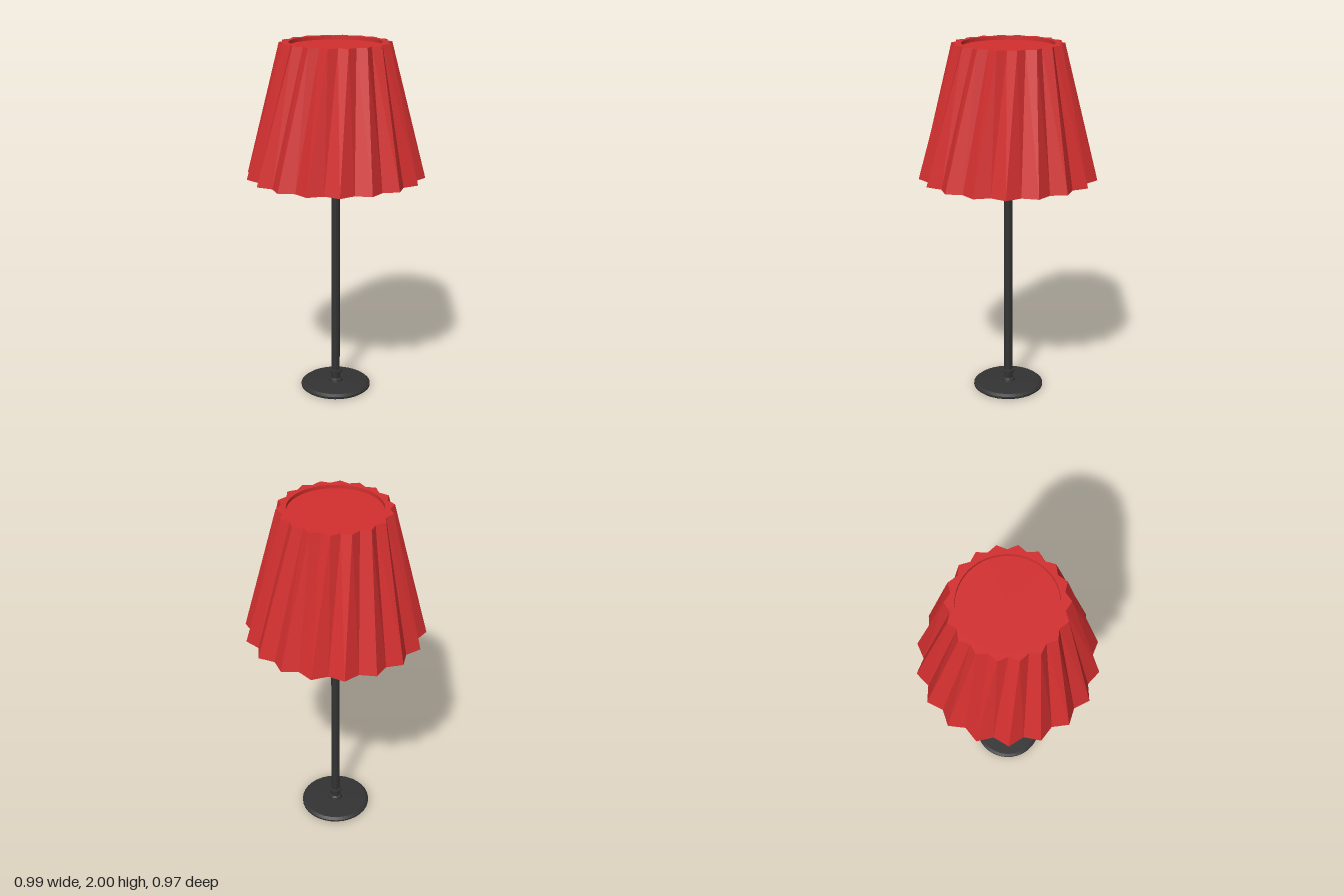
import * as THREE from 'three';
import { toCreasedNormals } from 'three/addons/utils/BufferGeometryUtils.js';

const PLEATS = 18, BOTTOM = 1.27, TOP = 2, HOLE = 0.25, RECESS = 0.02;

// Zigzag loop of points; even points and odd points have their own radius
function pleatLoop(evenRadius, oddRadius) {
  const points = [];
  for (let i = 0; i < PLEATS * 2; i++) {
    const a = (i * Math.PI) / PLEATS, r = i % 2 ? oddRadius : evenRadius;
    points.push(new THREE.Vector2(Math.cos(a) * r, Math.sin(a) * r));
  }
  return points;
}

// Pleated wall joining the bottom loop to the top loop
function pleatedWall(low, high) {
  const pos = [], n = low.length;
  const put = (p, y) => pos.push(p.x, y, -p.y);
  for (let i = 0; i < n; i++) {
    const j = (i + 1) % n;
    put(low[i], BOTTOM); put(low[j], BOTTOM); put(high[j], TOP);
    put(low[i], BOTTOM); put(high[j], TOP); put(high[i], TOP);
  }
  const g = new THREE.BufferGeometry();
  g.setAttribute('position', new THREE.Float32BufferAttribute(pos, 3));
  g.computeVertexNormals();
  return g;
}

export function createModel() {
  const model = new THREE.Group();
  model.name = 'tableLamp';
  const red = new THREE.MeshStandardMaterial({ color: 0xd32f2f });
  red.name = 'redShade';
  const black = new THREE.MeshStandardMaterial({ color: 0x333333 });
  black.name = 'blackMetal';

  const add = (parent, name, geometry, material, y = 0) => {
    const mesh = new THREE.Mesh(geometry, material);
    mesh.name = name;
    mesh.position.y = y;
    parent.add(mesh);
  };

  // Shade: the folds swap in and out between bottom and top
  const shade = new THREE.Group();
  shade.name = 'shade';
  model.add(shade);
  const low = pleatLoop(0.493, 0.45), high = pleatLoop(0.275, 0.302);
  add(shade, 'pleats', pleatedWall(low, high), red);
  add(shade, 'shadeBottom', new THREE.ShapeGeometry(new THREE.Shape(low)).rotateX(Math.PI / 2), red, BOTTOM);

  // Top rim with a shallow round recess
  const rim = new THREE.Shape(high);
  rim.holes.push(new THREE.Path().absarc(0, 0, HOLE, 0, Math.PI * 2, true));
  add(shade, 'topRim', new THREE.ShapeGeometry(rim, 32).rotateX(-Math.PI / 2), red, TOP);
  // Inward-facing recess wall and floor
  const recess = [[0, TOP - RECESS], [HOLE, TOP - RECESS], [HOLE, TOP]].map(([r, y]) => new THREE.Vector2(r, y));
  const recessGeometry = new THREE.LatheGeometry(recess.reverse(), 64);
  add(shade, 'topRecess', toCreasedNormals(recessGeometry, 0.6), red);

  // Base, collars and post turned from one profile
  const profile = [
    [0, 0], [0.19, 0], [0.2, 0.008], [0.2, 0.018], [0.185, 0.03], [0.04, 0.032],
    [0.036, 0.045], [0.026, 0.052], [0.026, 0.088], [0.037, 0.09], [0.037, 0.1],
    [0.024, 0.102], [0.024, BOTTOM],
  ].map(([r, y]) => new THREE.Vector2(r, y));
  add(model, 'baseAndPost', toCreasedNormals(new THREE.LatheGeometry(profile, 32), 0.5), black);

  return model;
}
